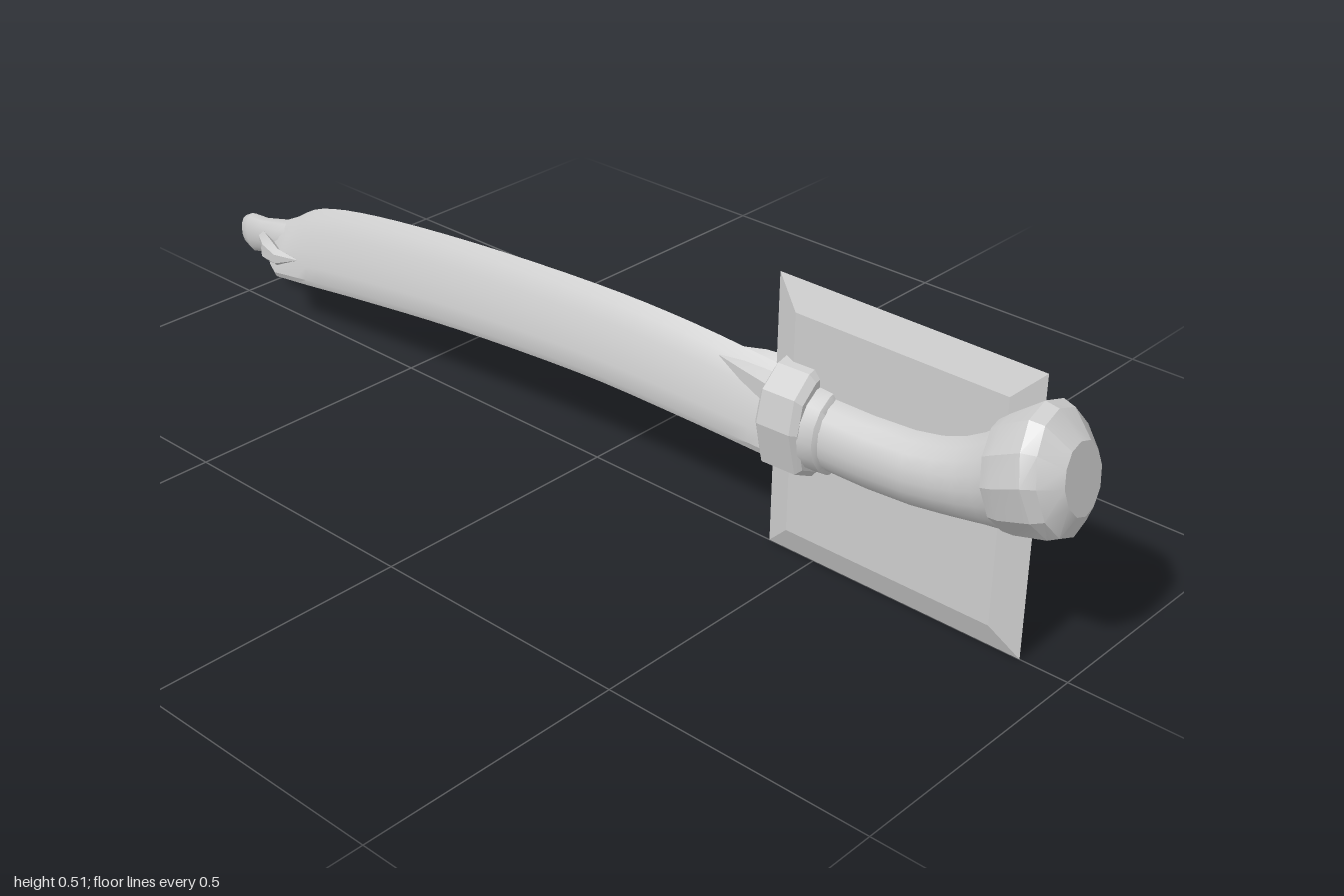
import * as THREE from 'three';
import { toCreasedNormals } from 'three/addons/utils/BufferGeometryUtils.js';

const material = new THREE.MeshStandardMaterial({ color: 0xcccccc });

// Half outline [height -1..1, width 0..1] from top to bottom, mirrored to a full ring
const mirrored = (half) => [...half, ...half.slice(1, -1).reverse().map(([u, v]) => [u, -v])];

const roundSection = (n) =>
  Array.from({ length: n }, (_, i) => {
    const a = (i / n) * Math.PI * 2;
    return [Math.cos(a), Math.sin(a)];
  });

// Loft along +x; station = [topX, topY, bottomX, bottomY, halfWidth, z offset]
function loft(name, section, stations, crease = 0.6) {
  const n = section.length, pos = [], index = [];
  for (const [tx, ty, bx, by, w, z = 0] of stations) {
    for (const [u, v] of section) {
      const t = (u + 1) / 2;
      pos.push(bx + (tx - bx) * t, by + (ty - by) * t, z + v * w);
    }
  }
  const last = (stations.length - 1) * n;
  for (let i = 0; i < last; i += n) {
    for (let j = 0; j < n; j++) {
      const k = (j + 1) % n;
      index.push(i + j, i + k, i + n + j, i + k, i + n + k, i + n + j);
    }
  }
  for (let j = 1; j < n - 1; j++) {
    index.push(0, j + 1, j, last, last + j, last + j + 1);
  }
  let geo = new THREE.BufferGeometry();
  geo.setAttribute('position', new THREE.Float32BufferAttribute(pos, 3));
  geo.setIndex(index);
  geo = toCreasedNormals(geo, crease);
  const mesh = new THREE.Mesh(geo, material);
  mesh.name = name;
  return mesh;
}

export function createModel() {
  const group = new THREE.Group();
  group.name = 'sheathedSword';

  // Curved scabbard: ridged top, swelling sides, flat chamfered bottom
  const scabbardSection = mirrored([
    [1, 0], [0.8, 0.3], [0.45, 0.58], [0.05, 0.8], [-0.35, 0.95], [-0.7, 1], [-0.87, 0.9], [-1, 0.45], [-1, 0],
  ]);
  const curve = (pts) => new THREE.SplineCurve(pts.map((p) => new THREE.Vector2(...p)));
  const top = curve([[-0.82, 0.225], [-0.74, 0.267], [-0.58, 0.3], [-0.31, 0.33], [0, 0.35], [0.22, 0.352], [0.43, 0.341]]);
  const bottom = curve([[-0.84, 0.097], [-0.74, 0.107], [-0.58, 0.128], [-0.31, 0.16], [0, 0.184], [0.22, 0.188], [0.43, 0.187]]);
  const stations = [[-0.92, 0.175, -0.9, 0.125, 0.018], [-0.86, 0.205, -0.87, 0.105, 0.042]];
  for (let i = 0; i <= 24; i++) {
    const a = top.getPoint(i / 24), b = bottom.getPoint(i / 24);
    stations.push([a.x, a.y, b.x, b.y, 0.056]);
  }
  group.add(loft('scabbard', scabbardSection, stations, 0.5));

  // Rounded tip fitting
  group.add(loft('scabbardTip', roundSection(14), [
    [-1, 0.155, -0.998, 0.135, 0.006],
    [-0.992, 0.175, -0.985, 0.114, 0.015],
    [-0.97, 0.187, -0.96, 0.105, 0.021],
    [-0.93, 0.189, -0.92, 0.116, 0.021],
    [-0.87, 0.203, -0.87, 0.122, 0.03],
    [-0.82, 0.21, -0.83, 0.135, 0.03],
  ], 0.9));

  // Pointed tongues, mirrored on both sides of the scabbard
  for (const s of [1, -1]) {
    group.add(loft('tipTongue', roundSection(6), [
      [-0.93, 0.17, -0.92, 0.12, 0.012, s * 0.01],
      [-0.87, 0.178, -0.88, 0.125, 0.016, s * 0.04],
      [-0.83, 0.168, -0.83, 0.13, 0.012, s * 0.05],
      [-0.77, 0.163, -0.77, 0.161, 0.001, s * 0.05],
    ]));
    group.add(loft('throatTongue', roundSection(6), [
      [0.3, 0.328, 0.3, 0.326, 0.001, s * 0.022],
      [0.36, 0.34, 0.36, 0.298, 0.012, s * 0.028],
      [0.43, 0.345, 0.43, 0.268, 0.018, s * 0.032],
    ]));
  }

  // Faceted guard
  const guardSection = mirrored([[1, 0], [0.92, 0.4], [0.6, 0.85], [0.05, 1], [-0.7, 0.78], [-1, 0]]);
  group.add(loft('guard', guardSection, [
    [0.425, 0.36, 0.423, 0.175, 0.074],
    [0.434, 0.374, 0.432, 0.163, 0.083],
    [0.498, 0.376, 0.502, 0.165, 0.083],
    [0.51, 0.362, 0.512, 0.178, 0.074],
  ], 0.1));

  // Collar between guard and grip
  group.add(loft('collar', roundSection(16), [
    [0.505, 0.348, 0.505, 0.186, 0.074],
    [0.538, 0.346, 0.54, 0.19, 0.074],
    [0.544, 0.336, 0.546, 0.2, 0.066],
  ]));

  // Grip bending up toward the pommel
  group.add(loft('grip', roundSection(20), [
    [0.54, 0.337, 0.54, 0.198, 0.066],
    [0.62, 0.337, 0.63, 0.199, 0.068],
    [0.7, 0.342, 0.715, 0.205, 0.069],
    [0.75, 0.352, 0.775, 0.214, 0.069],
    [0.79, 0.367, 0.82, 0.221, 0.069],
    [0.825, 0.388, 0.855, 0.227, 0.071],
    [0.855, 0.413, 0.885, 0.231, 0.076],
  ], 0.9));

  // Flared pommel with a slightly domed end
  const pommelSection = mirrored([
    [1, 0], [0.88, 0.5], [0.52, 0.85], [0.05, 1], [-0.5, 0.85], [-0.88, 0.45], [-1, 0],
  ]);
  group.add(loft('pommel', pommelSection, [
    [0.845, 0.42, 0.882, 0.229, 0.082],
    [0.862, 0.435, 0.905, 0.232, 0.09],
    [0.91, 0.463, 0.965, 0.248, 0.092],
    [0.935, 0.459, 0.982, 0.257, 0.08],
    [0.977, 0.42, 0.998, 0.3, 0.05],
  ], 0.35));

  // Square plate around the grip: bevelled to a thin edge on both faces
  const outer = 0.2535, inner = 0.2035, half = 0.02;
  const frustum = new THREE.CylinderGeometry(inner * Math.SQRT2, outer * Math.SQRT2, half, 4, 1)
    .rotateY(Math.PI / 4)
    .translate(0, half / 2, 0)
    .rotateX(Math.PI / 2);
  const plate = new THREE.Group();
  plate.name = 'plate';
  for (const turn of [0, Math.PI]) {
    const side = new THREE.Mesh(toCreasedNormals(frustum, 0.05), material);
    side.name = 'plateHalf';
    side.rotation.y = turn;
    plate.add(side);
  }
  plate.position.set(0.658, 0.2545, 0);
  group.add(plate);

  return group;
}
